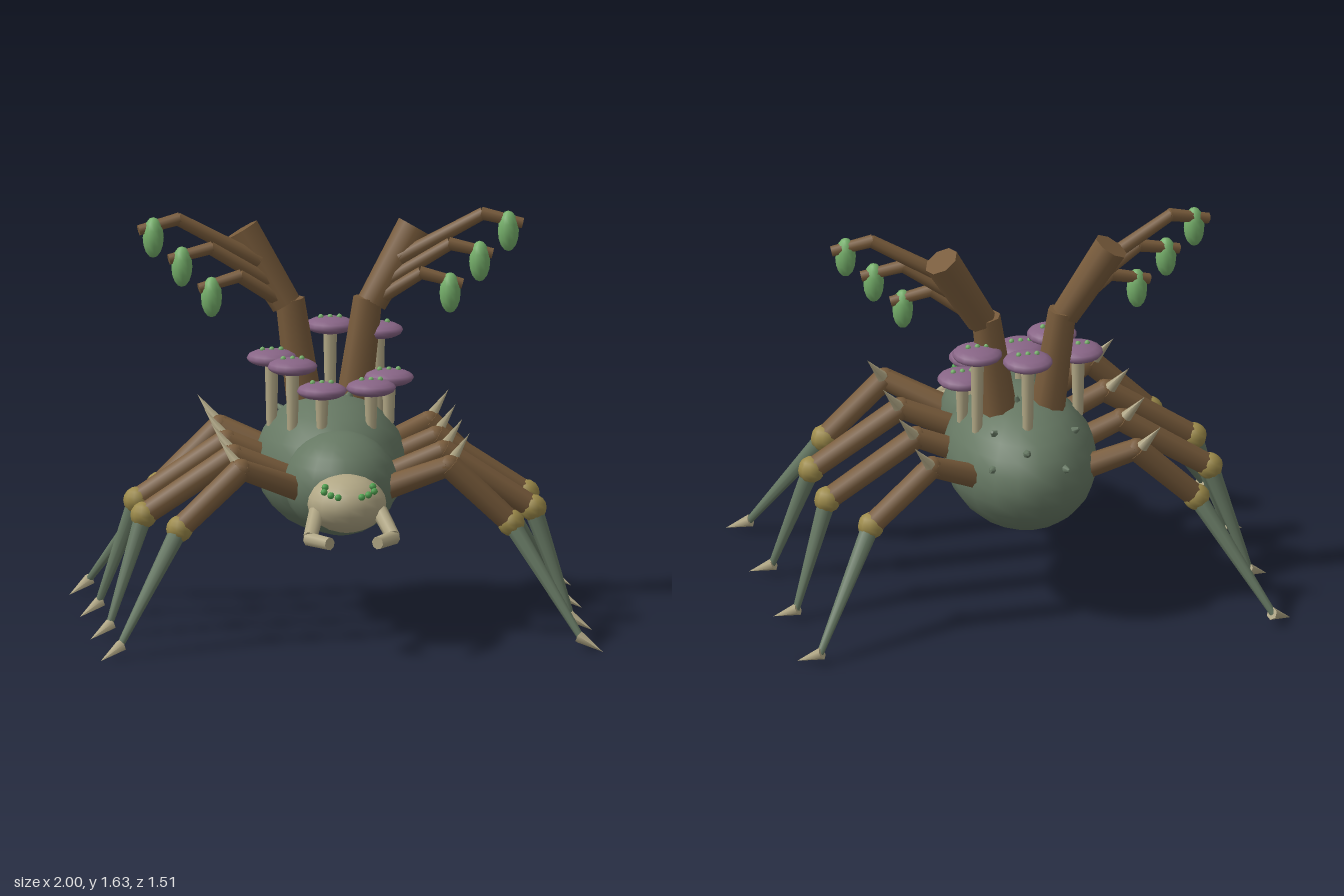
import * as THREE from 'three';

const mat = (name, color) => {
  const m = new THREE.MeshStandardMaterial({ color });
  m.name = name;
  return m;
};

export function createModel() {
  const model = new THREE.Group();
  model.name = 'mushroomSpider';
  const moss = mat('mossGreen', 0x667863);
  const bark = mat('barkBrown', 0x785b3b);
  const gold = mat('jointGold', 0x9c8a4a);
  const bone = mat('bone', 0xb1a785);
  const purple = mat('capPurple', 0x886586);
  const leaf = mat('leafGreen', 0x76b06b);
  const eyeGreen = mat('eyeGreen', 0x4fa04f);

  const V = (p) => new THREE.Vector3(...p);
  const UP = new THREE.Vector3(0, 1, 0);

  // Ellipsoid at a point, with radii along x, y and z
  function blob(parent, name, material, pos, radii, w = 12, h = 8) {
    const mesh = new THREE.Mesh(new THREE.SphereGeometry(1, w, h), material);
    mesh.name = name;
    mesh.position.set(...pos);
    mesh.scale.set(...radii);
    parent.add(mesh);
  }

  // Tapered limb from a to b; a zero end radius makes a spike
  function limb(parent, name, material, a, b, ra, rb, sides = 8) {
    const from = V(a), dir = V(b).sub(from);
    const mesh = new THREE.Mesh(new THREE.CylinderGeometry(rb, ra, dir.length(), sides), material);
    mesh.name = name;
    mesh.position.copy(from).addScaledVector(dir, 0.5);
    mesh.quaternion.setFromUnitVectors(UP, dir.normalize());
    parent.add(mesh);
  }

  // Body
  blob(model, 'abdomen', moss, [0, 0.615, -0.25], [0.3, 0.275, 0.415], 20, 14);
  blob(model, 'thorax', moss, [0, 0.615, 0.18], [0.225, 0.207, 0.24], 20, 14);
  blob(model, 'head', bone, [0, 0.583, 0.435], [0.157, 0.115, 0.15], 16, 12);

  // Small thorns scattered over the abdomen: direction from its centre
  const thorns = [[-0.6, 0.65, -0.5], [0.5, 0.7, -0.5], [0.6, 0.3, -0.75], [-0.35, 0.3, -0.88],
    [0.15, 0.55, -0.82], [0.25, 0.97, 0], [-0.25, 0.97, -0.05], [0.1, 0.98, -0.18]];
  for (const t of thorns) {
    const n = V(t).normalize();
    const at = (k) => [n.x * 0.3 * k, 0.615 + n.y * 0.275 * k, -0.25 + n.z * 0.415 * k];
    limb(model, 'thorn', moss, at(0.96), at(1.08), 0.02, 0.006, 6);
  }

  // Mushrooms: cap centres
  const caps = [[-0.17, 1.04, -0.06], [-0.06, 0.955, 0.015], [0.14, 0.955, -0.03], [0.23, 0.955, -0.23],
    [0.02, 1.12, -0.485], [-0.235, 1.04, -0.25], [0.2, 1.12, -0.37]];
  for (const [x, y, z] of caps) {
    const shroom = new THREE.Group();
    shroom.name = 'mushroom';
    const inside = 1 - (x / 0.3) ** 2 - ((z + 0.25) / 0.415) ** 2;
    const ground = 0.595 + 0.275 * Math.sqrt(Math.max(inside, 0.05));
    limb(shroom, 'stem', bone, [x, ground, z], [x, y, z], 0.021, 0.028);
    blob(shroom, 'cap', purple, [x, y, z], [0.1, 0.034, 0.1], 16, 8);
    for (const dx of [-0.037, 0, 0.037])
      blob(shroom, 'capDot', leaf, [x + dx, y + 0.033, z], [0.011, 0.011, 0.011], 8, 6);
    model.add(shroom);
  }

  // Legs: hip z, knee z, ankle [x, z], z of the shin end
  const legs = [[0.26, 0.37, 0.66, 0.37, 0.585], [0.06, 0.075, 0.775, 0.08, 0.15],
    [-0.21, -0.215, 0.775, -0.22, -0.3], [-0.44, -0.515, 0.66, -0.505, -0.745]];
  // Twigs: start, elbow and tip in x and y, then the pod hanging below the tip
  const twigs = [[0.28, 1.42, 0.61, 1.605, 0.765, 1.565, 0.707, 1.535],
    [0.23, 1.33, 0.48, 1.485, 0.645, 1.445, 0.593, 1.415],
    [0.18, 1.25, 0.365, 1.37, 0.525, 1.325, 0.475, 1.29]];
  const eyes = [[0.047, 0.633, 0.565], [0.075, 0.64, 0.555], [0.1, 0.65, 0.535], [0.095, 0.668, 0.525]];

  for (const s of [1, -1]) {
    const side = new THREE.Group();
    side.name = s > 0 ? 'leftSide' : 'rightSide';
    const P = (x, y, z) => [s * x, y, z];

    for (const [hipZ, kneeZ, ankleX, ankleZ, endZ] of legs) {
      const leg = new THREE.Group();
      leg.name = 'leg';
      const knee = P(0.415, 0.715, kneeZ), ankle = P(ankleX, 0.48, ankleZ), end = P(0.92, 0.05, endZ);
      limb(leg, 'hip', bark, P(0.18, 0.61, hipZ), knee, 0.05, 0.043);
      blob(leg, 'knee', bark, knee, [0.044, 0.044, 0.044], 8, 6);
      limb(leg, 'thigh', bark, knee, ankle, 0.049, 0.046);
      blob(leg, 'ankle', gold, ankle, [0.054, 0.054, 0.054], 10, 8);
      limb(leg, 'shin', moss, ankle, end, 0.037, 0.014);
      limb(leg, 'claw', bone, P(0.912, 0.055, endZ - 0.005), P(1, 0.005, endZ + 0.055), 0.026, 0, 6);
      limb(leg, 'kneeSpike', bone, P(0.43, 0.735, kneeZ - 0.03), P(0.5, 0.83, kneeZ - 0.065), 0.024, 0, 6);
      side.add(leg);
    }

    // Branching antler
    const antler = new THREE.Group();
    antler.name = 'antler';
    limb(antler, 'trunk', bark, P(0.095, 0.82, -0.315), P(0.155, 1.26, -0.325), 0.072, 0.058);
    limb(antler, 'bough', bark, P(0.17, 1.24, -0.32), P(0.345, 1.535, -0.365), 0.06, 0.072);
    for (const [ax, ay, bx, by, cx, cy, px, py] of twigs) {
      limb(antler, 'twig', bark, P(ax, ay, -0.31), P(bx, by, -0.265), 0.032, 0.026);
      limb(antler, 'twigTip', bark, P(bx - 0.01, by, -0.265), P(cx, cy, -0.245), 0.027, 0.022);
      blob(antler, 'pod', leaf, P(px, py, -0.245), [0.042, 0.082, 0.042]);
    }
    side.add(antler);

    // Face
    for (const [x, y, z] of eyes) blob(side, 'eye', eyeGreen, P(x, y, z), [0.014, 0.014, 0.014], 8, 6);
    limb(side, 'jaw', bone, P(0.125, 0.56, 0.48), P(0.165, 0.485, 0.63), 0.032, 0.029);
    limb(side, 'fang', bone, P(0.17, 0.48, 0.62), P(0.095, 0.478, 0.72), 0.029, 0.026);
    model.add(side);
  }
  return model;
}
